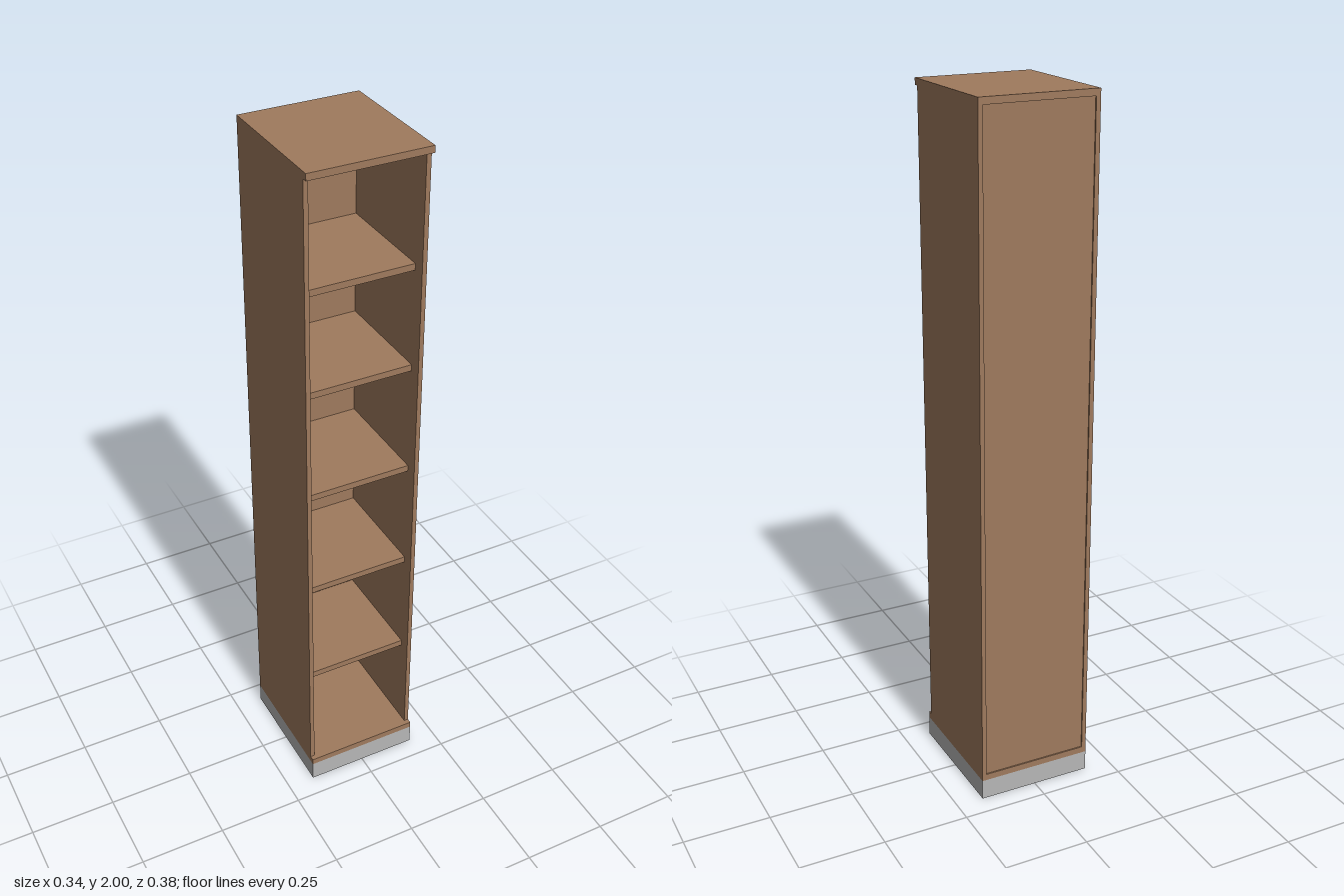
import * as THREE from 'three';

export function createModel() {
  const model = new THREE.Group();
  model.name = 'tallShelfCabinet';

  const wood = new THREE.MeshStandardMaterial({ color: 0x9f7a5d });
  wood.name = 'brown wood';
  const grey = new THREE.MeshStandardMaterial({ color: 0xb6b6b6 });
  grey.name = 'grey plinth';

  // Box given by its limits on each axis
  function board(name, material, [x0, x1], [y0, y1], [z0, z1]) {
    const geometry = new THREE.BoxGeometry(x1 - x0, y1 - y0, z1 - z0);
    const mesh = new THREE.Mesh(geometry, material);
    mesh.position.set((x0 + x1) / 2, (y0 + y1) / 2, (z0 + z1) / 2);
    mesh.name = name;
    model.add(mesh);
  }

  const W = 0.17, D = 0.19;        // half width and half depth
  const side = 0.013, thick = 0.019;
  const baseTop = 0.06, floor = baseTop + thick, ceiling = 2 - thick;
  const inner = W - side;

  // Top and bottom boards overhang the sides at the front
  board('topBoard', wood, [-W, W], [ceiling, 2], [-D, D]);
  board('bottomBoard', wood, [-W, W], [baseTop, floor], [-D, D]);

  // Side panels and slightly recessed back
  board('leftSide', wood, [inner, W], [floor, ceiling], [-D, 0.175]);
  board('rightSide', wood, [-W, -inner], [floor, ceiling], [-D, 0.175]);
  board('backPanel', wood, [-inner, inner], [floor, ceiling], [-D + 0.004, -D + 0.014]);

  // Shelves, set back from the front edge
  for (const y of [0.371, 0.698, 1.024, 1.351, 1.649]) {
    board('shelf', wood, [-inner, inner], [y, y + thick], [-D + 0.014, 0.14]);
  }

  // Hollow plinth frame
  const t = 0.018;
  board('plinthFront', grey, [-W, W], [0, baseTop], [D - t, D]);
  board('plinthBack', grey, [-W, W], [0, baseTop], [-D, -D + t]);
  board('plinthLeft', grey, [W - t, W], [0, baseTop], [-D + t, D - t]);
  board('plinthRight', grey, [-W, -W + t], [0, baseTop], [-D + t, D - t]);

  return model;
}
